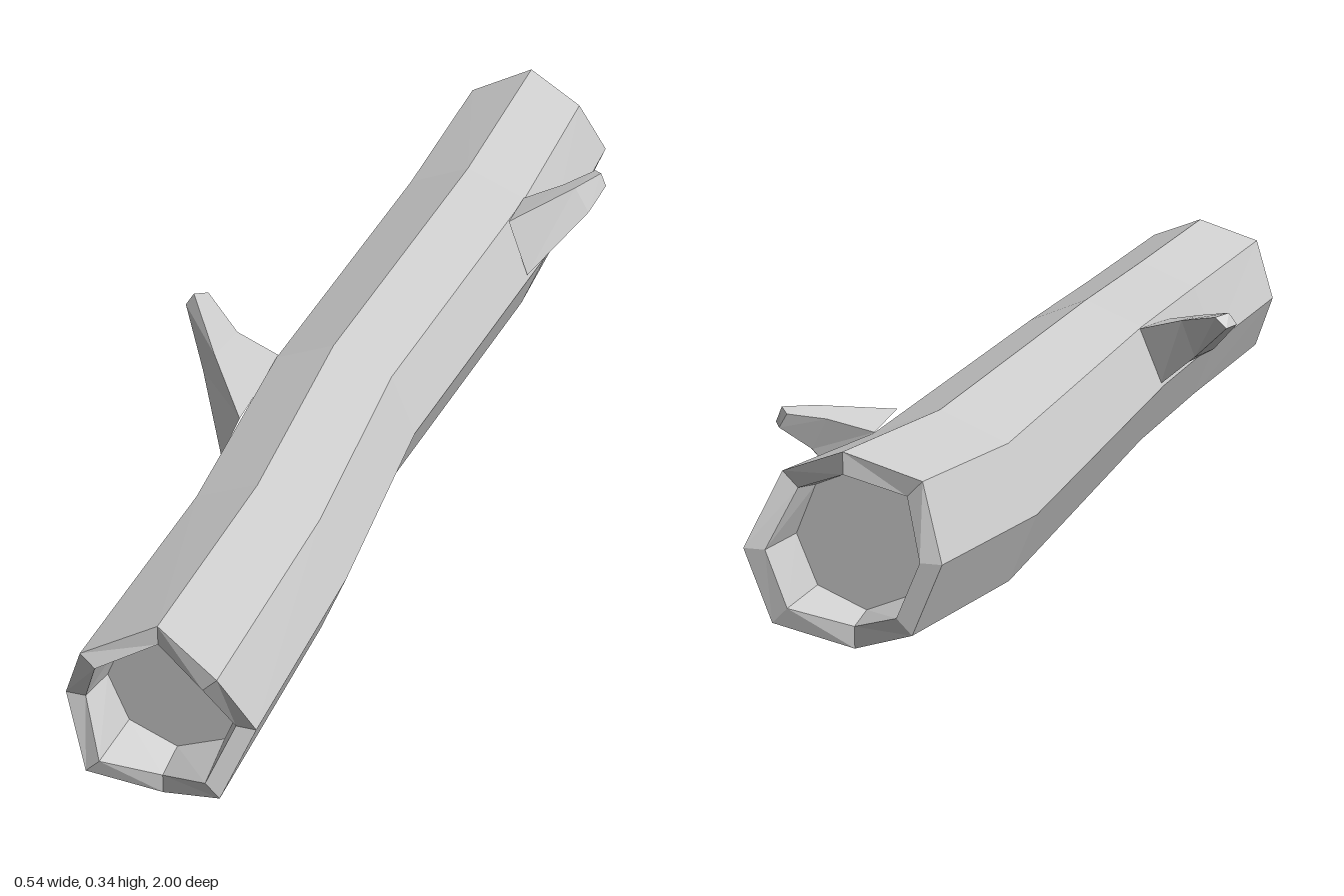
import * as THREE from 'three';

const wood = new THREE.MeshStandardMaterial({ color: 0xcccccc });
wood.name = 'woodGrey';

// Skin a list of equal-length rings; optionally close the first / last ring.
function loft(name, rings, capStart = false, capEnd = false) {
  const n = rings[0].length;
  const index = [];
  for (let i = 0; i < rings.length - 1; i++) {
    for (let j = 0; j < n; j++) {
      const k = (j + 1) % n;
      const a = i * n + j, b = i * n + k, c = b + n, d = a + n;
      index.push(a, d, c, a, c, b);
    }
  }
  const last = (rings.length - 1) * n;
  for (let j = 1; j < n - 1; j++) {
    if (capStart) index.push(0, j, j + 1);
    if (capEnd) index.push(last, last + j + 1, last + j);
  }
  const indexed = new THREE.BufferGeometry();
  indexed.setAttribute('position', new THREE.Float32BufferAttribute(rings.flat(2), 3));
  indexed.setIndex(index);
  const geometry = indexed.toNonIndexed();
  geometry.computeVertexNormals(); // unshared corners give flat facets
  const mesh = new THREE.Mesh(geometry, wood);
  mesh.name = name;
  return mesh;
}

// Octagon with corners at 0, 45, 90... degrees; z may vary per corner.
function octagon(x, y, r, z) {
  return Array.from({ length: 8 }, (_, j) => {
    const a = (j * Math.PI) / 4;
    return [x + r * Math.cos(a), y + r * Math.sin(a), Array.isArray(z) ? z[j] : z];
  });
}

export function createModel() {
  const log = new THREE.Group();
  log.name = 'log';

  // Jagged saw-cut ends
  const frontZ = [0.96, 1, 0.96, 1, 0.96, 1, 0.96, 1];
  const backZ = [-0.995, -0.95, -0.985, -0.95, -0.995, -1, -0.95, -1];
  const front = octagon(0.035, 0.18, 0.147, frontZ);
  const back = octagon(0.033, 0.183, 0.149, backZ);

  // Gently bent trunk
  log.add(loft('trunk', [
    front,
    octagon(0.037, 0.177, 0.142, 0.55),
    octagon(0.016, 0.191, 0.14, 0.13),
    octagon(0.024, 0.153, 0.152, -0.6),
    back,
  ]));

  // Rims with sunken wood at both ends
  log.add(loft('frontEnd', [
    octagon(0.035, 0.18, 0.106, 0.9),
    octagon(0.035, 0.18, 0.116, frontZ),
    front,
  ], true, false));
  log.add(loft('backEnd', [
    back,
    octagon(0.033, 0.183, 0.116, backZ),
    octagon(0.033, 0.183, 0.106, -0.9),
  ], false, true));

  // Tapered branch stubs: base, bend and tip
  log.add(loft('rightBranch', [
    [[-0.085, 0.27, 0.3], [-0.118, 0.193, 0.3], [-0.12, 0.195, 0.12], [-0.08, 0.288, 0.12]],
    [[-0.172, 0.306, 0.18], [-0.205, 0.255, 0.15], [-0.185, 0.25, 0.1], [-0.16, 0.311, 0.105]],
    [[-0.255, 0.34, 0.055], [-0.268, 0.32, 0.06], [-0.255, 0.316, 0.04], [-0.237, 0.335, 0.035]],
  ], false, true));
  log.add(loft('leftBranch', [
    [[0.17, 0.162, -0.6], [0.172, 0.17, -0.485], [0.135, 0.272, -0.485], [0.13, 0.262, -0.6]],
    [[0.222, 0.235, -0.625], [0.25, 0.25, -0.605], [0.225, 0.298, -0.6], [0.195, 0.285, -0.63]],
    [[0.255, 0.278, -0.675], [0.268, 0.282, -0.655], [0.258, 0.306, -0.655], [0.242, 0.3, -0.675]],
  ], false, true));

  return log;
}
